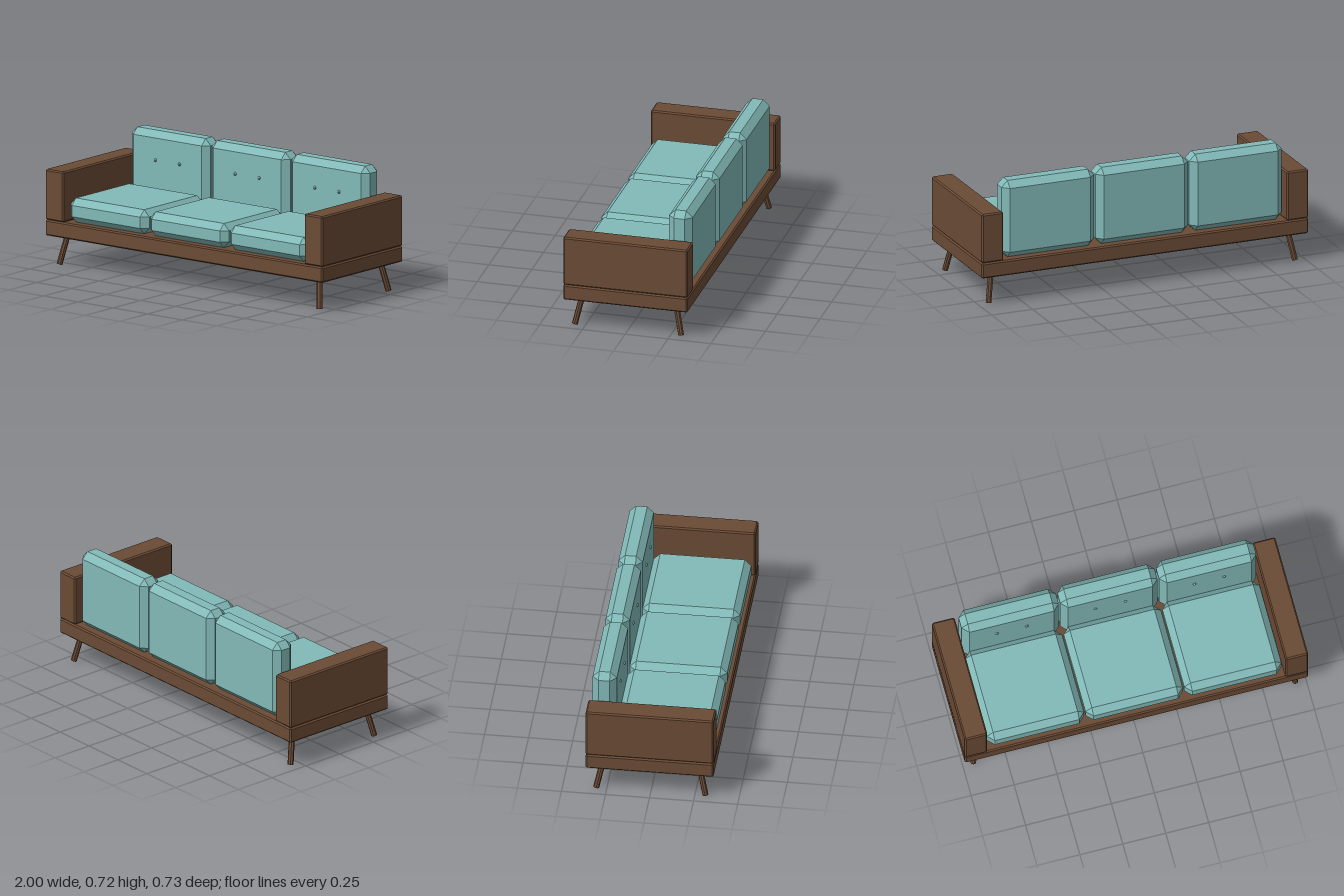
import * as THREE from 'three';
import { ConvexGeometry } from 'three/addons/geometries/ConvexGeometry.js';

const wood = new THREE.MeshStandardMaterial({ color: 0x6b4b35 });
wood.name = 'walnut wood';
wood.flatShading = true;
const fabric = new THREE.MeshStandardMaterial({ color: 0x82bab8 });
fabric.name = 'teal fabric';
fabric.flatShading = true;

// Box with every edge and corner cut at 45 degrees
function chamferBox(name, material, [x0, x1], [y0, y1], [z0, z1], c) {
  const half = [(x1 - x0) / 2, (y1 - y0) / 2, (z1 - z0) / 2];
  const points = [];
  for (const sx of [-1, 1]) for (const sy of [-1, 1]) for (const sz of [-1, 1]) {
    for (let axis = 0; axis < 3; axis++) {
      const p = half.map((h, i) => (i === axis ? h : h - c));
      points.push(new THREE.Vector3(p[0] * sx, p[1] * sy, p[2] * sz));
    }
  }
  const mesh = new THREE.Mesh(new ConvexGeometry(points), material);
  mesh.position.set((x0 + x1) / 2, (y0 + y1) / 2, (z0 + z1) / 2);
  mesh.name = name;
  return mesh;
}

// Straight round leg running between two points
function leg(name, foot, top) {
  const dir = top.clone().sub(foot);
  const mesh = new THREE.Mesh(new THREE.CylinderGeometry(0.017, 0.017, dir.length(), 8), wood);
  mesh.position.copy(foot).add(top).multiplyScalar(0.5);
  mesh.quaternion.setFromUnitVectors(new THREE.Vector3(0, 1, 0), dir.normalize());
  mesh.name = name;
  return mesh;
}

export function createModel() {
  const sofa = new THREE.Group();
  sofa.name = 'sofa';

  // Platform
  sofa.add(chamferBox('base', wood, [-1, 1], [0.17, 0.261], [-0.363, 0.363], 0.008));

  // Arms and splayed legs
  for (const s of [-1, 1]) {
    const side = s > 0 ? 'left' : 'right';
    const xs = s > 0 ? [0.868, 1] : [-1, -0.868];
    sofa.add(chamferBox(side + 'Arm', wood, xs, [0.261, 0.552], [-0.363, 0.363], 0.008));
    for (const f of [-1, 1]) {
      sofa.add(leg(side + (f > 0 ? 'Front' : 'Back') + 'Leg',
        new THREE.Vector3(0.938 * s, 0.004, 0.31 * f),
        new THREE.Vector3(0.907 * s, 0.178, 0.272 * f)));
    }
  }

  // Three seat and back cushions, each back with two buttons
  ['right', 'middle', 'left'].forEach((side, i) => {
    const x = (i - 1) * 0.575;
    const xs = [x - 0.283, x + 0.283];
    sofa.add(chamferBox(side + 'SeatCushion', fabric, xs, [0.262, 0.401], [-0.208, 0.345], 0.037));
    sofa.add(chamferBox(side + 'BackCushion', fabric, xs, [0.262, 0.716], [-0.345, -0.208], 0.037));
    for (const s of [-1, 1]) {
      const button = new THREE.Mesh(new THREE.SphereGeometry(0.01, 8, 6), fabric);
      button.position.set(x + 0.087 * s, 0.552, -0.208);
      button.name = side + 'CushionButton';
      sofa.add(button);
    }
  });

  return sofa;
}
